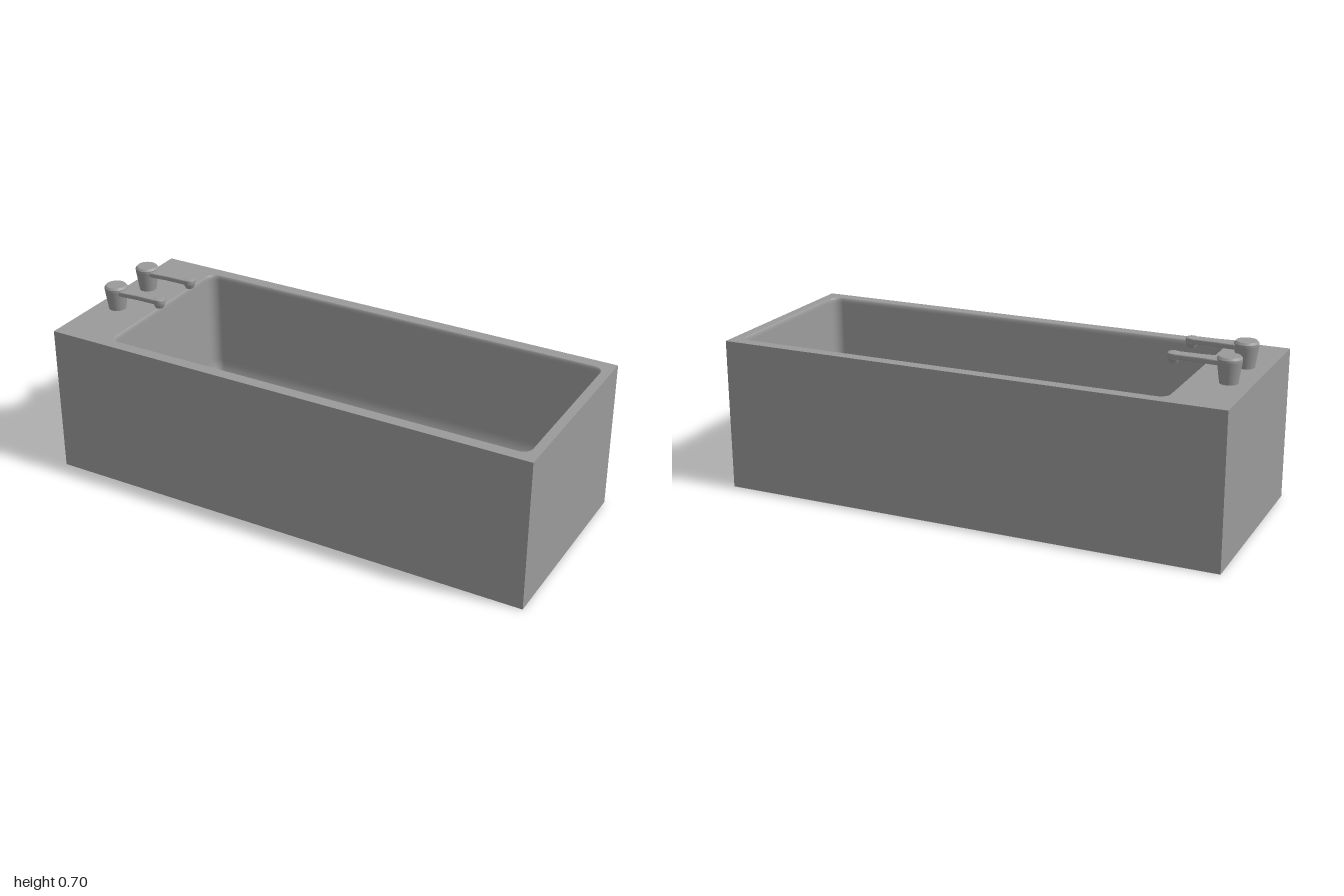
import * as THREE from 'three';

const material = new THREE.MeshStandardMaterial({ color: 0x9a9a9a });

function part(name, geometry) {
  const mesh = new THREE.Mesh(geometry, material);
  mesh.name = name;
  return mesh;
}

const CX = 0.0975, HX = 0.866, HZ = 0.353, STEPS = 8;

// Outline of a rounded rectangle around the basin centre
function outline(insetX, insetZ, r) {
  const points = [];
  [[1, 1], [-1, 1], [-1, -1], [1, -1]].forEach(([sx, sz], q) => {
    for (let i = 0; i <= STEPS; i++) {
      const a = (q + i / STEPS) * Math.PI / 2;
      points.push(new THREE.Vector2(
        CX + sx * (HX - insetX - r) + r * Math.cos(a),
        sz * (HZ - insetZ - r) + r * Math.sin(a)));
    }
  });
  return points;
}

// Basin lofted from the rim, over a small lip, down the walls and into the floor
function basinGeometry() {
  const rings = [[0, 0, 0.6, 0.04], [0.003, 0.003, 0.597, 0.04], [0.005, 0.005, 0.59, 0.04], [0.006, 0.006, 0.58, 0.04]];
  for (let i = 0; i <= 10; i++) {
    const a = i / 10 * Math.PI / 2, k = 1 - Math.cos(a);
    rings.push([0.02 + 0.08 * k, 0.02 + 0.13 * k, 0.22 - 0.12 * Math.sin(a), 0.04 + 0.01 * k]);
  }
  const pos = [], index = [], n = 4 * (STEPS + 1);
  for (const [ix, iz, y, r] of rings) for (const p of outline(ix, iz, r)) pos.push(p.x, y, p.y);
  const centre = pos.length / 3;
  pos.push(CX, 0.1, 0);
  rings.forEach((_, i) => {
    for (let j = 0; j < n; j++) {
      const a = i * n + j, b = i * n + (j + 1) % n;
      if (i === rings.length - 1) index.push(a, centre, b);
      else index.push(a, a + n, b, b, a + n, b + n);
    }
  });
  const g = new THREE.BufferGeometry();
  g.setAttribute('position', new THREE.Float32BufferAttribute(pos, 3));
  g.setIndex(index);
  g.computeVertexNormals();
  return g;
}

function createTub() {
  const tub = new THREE.Group();
  tub.name = 'tub';

  // Outer casing: a box without its top face
  const casing = new THREE.BoxGeometry(2, 0.6, 0.8).translate(0, 0.3, 0);
  const faces = Array.from(casing.index.array);
  faces.splice(12, 6);
  casing.setIndex(faces);
  casing.clearGroups();

  // Flat rim with the basin opening
  const top = new THREE.Shape([[-1, -0.4], [1, -0.4], [1, 0.4], [-1, 0.4]].map(p => new THREE.Vector2(...p)));
  top.holes.push(new THREE.Path(outline(0, 0, 0.04)));
  const rim = new THREE.ShapeGeometry(top).rotateX(-Math.PI / 2).translate(0, 0.6, 0);

  tub.add(part('casing', casing), part('rim', rim), part('basin', basinGeometry()));
  return tub;
}

// Turned part; doubled profile points keep the edges crisp
function turned(name, profile) {
  return part(name, new THREE.LatheGeometry(profile.map(p => new THREE.Vector2(...p)), 32));
}

function createTap(name) {
  const tap = new THREE.Group();
  tap.name = name;

  // Flared body with a chamfered cap
  tap.add(turned('tapBody', [[0.034, 0], [0.046, 0.083], [0.046, 0.083], [0.046, 0.092], [0.046, 0.092],
    [0.039, 0.1], [0.039, 0.1], [0, 0.1]]));

  // Spout arm: tapering plan with a rounded end
  const plan = new THREE.Shape();
  plan.moveTo(0.02, -0.027);
  plan.lineTo(0.06, -0.025);
  plan.lineTo(0.11, -0.02);
  plan.lineTo(0.207, -0.019);
  plan.absarc(0.207, 0, 0.019, -Math.PI / 2, Math.PI / 2, false);
  plan.lineTo(0.11, 0.02);
  plan.lineTo(0.06, 0.025);
  plan.lineTo(0.02, 0.027);
  plan.closePath();
  const arm = new THREE.ExtrudeGeometry(plan, {
    depth: 0.012, bevelSize: 0.004, bevelThickness: 0.004, bevelSegments: 2, curveSegments: 12,
  }).rotateX(-Math.PI / 2).translate(0, 0.071, 0);
  tap.add(part('spoutArm', arm));

  // Downward nozzle with a slightly raised head
  const nozzle = turned('nozzle', [[0, 0.05], [0.016, 0.05], [0.016, 0.05], [0.023, 0.067], [0.023, 0.067],
    [0.023, 0.086], [0.023, 0.086], [0.019, 0.089], [0, 0.089]]);
  nozzle.position.x = 0.206;
  tap.add(nozzle);
  return tap;
}

export function createModel() {
  const model = new THREE.Group();
  model.name = 'bathtub';
  model.add(createTub());
  for (const side of [-1, 1]) {
    const tap = createTap(side > 0 ? 'frontTap' : 'backTap');
    tap.position.set(-0.912, 0.6, side * 0.105);
    model.add(tap);
  }
  return model;
}
